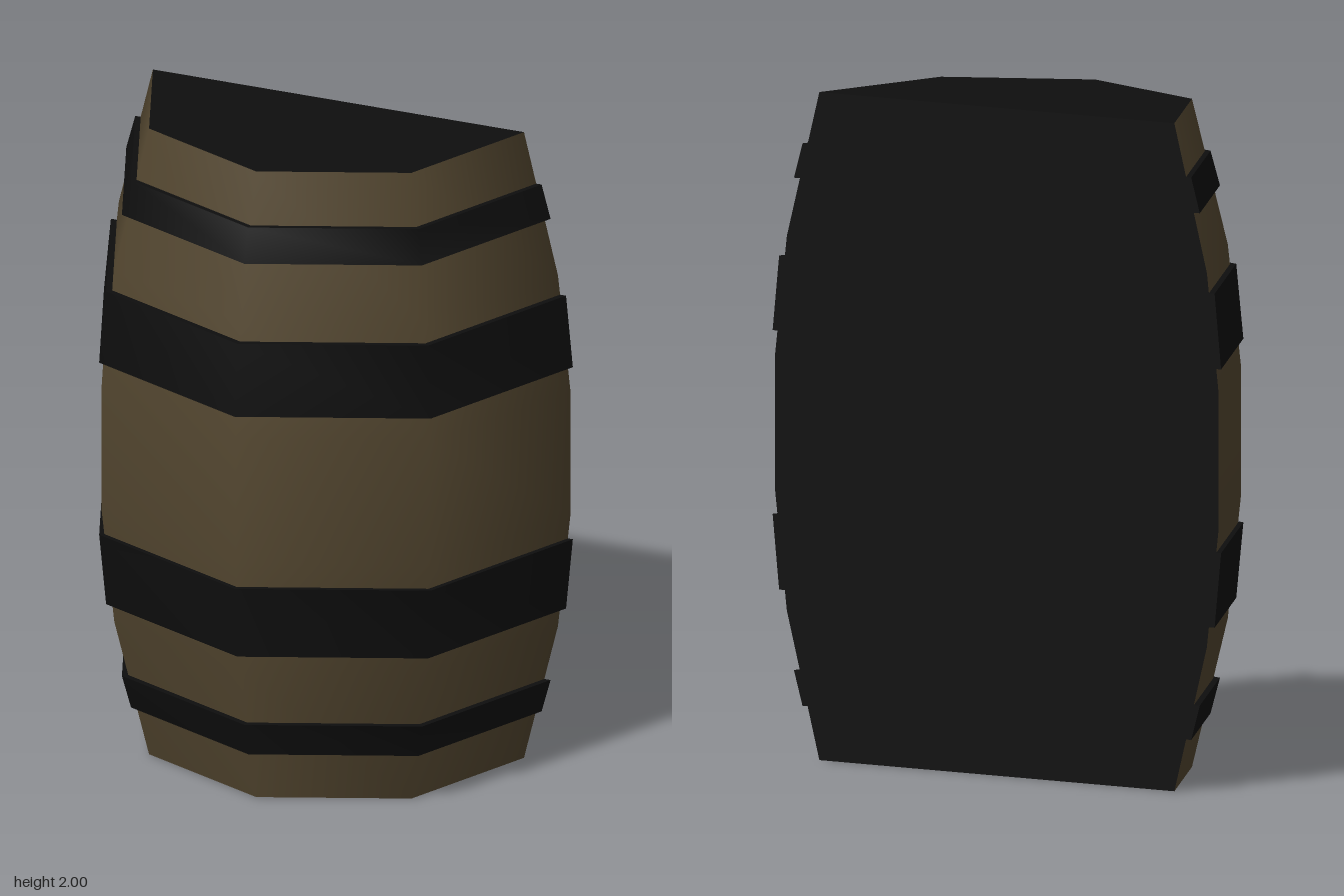
import * as THREE from 'three';
import { toCreasedNormals } from 'three/addons/utils/BufferGeometryUtils.js';

const BACK = -0.38; // plane where the half barrel is cut
const SIDES = 4;

// stave profile: [radius, height]
const PROFILE = [[0.6, 0], [0.71, 0.44], [0.75, 0.8], [0.75, 1.2], [0.71, 1.56], [0.6, 2]];

// hoops: bottom radius, bottom height, top radius, top height
const UPPER = [[0.758, 1.275, 0.736, 1.5], [0.686, 1.737, 0.657, 1.842]];
const HOOPS = [
  ...UPPER.map(([r0, y0, r1, y1]) => [r1, 2 - y1, r0, 2 - y0]).reverse()
    .map(([r0, y0, r1, y1], i) => {
      // lower hoops mirror the upper ones
      return [r0, y0, r1, y1, i];
    }),
  ...UPPER,
];

function staveRadius(y) {
  for (let i = 1; i < PROFILE.length; i++) {
    const [r0, y0] = PROFILE[i - 1], [r1, y1] = PROFILE[i];
    if (y <= y1) return r0 + (r1 - r0) * (y - y0) / (y1 - y0);
  }
  return PROFILE[PROFILE.length - 1][0];
}

function halfLathe(points) {
  return new THREE.LatheGeometry(points.map(p => new THREE.Vector2(...p)), SIDES, -Math.PI / 2, Math.PI);
}

export function createModel() {
  const model = new THREE.Group();
  const wood = new THREE.MeshStandardMaterial({ color: 0x544730 });
  wood.name = 'brown wood';
  const black = new THREE.MeshStandardMaterial({ color: 0x0e0e0e });
  black.name = 'black iron';

  function add(name, geometry, material, y = 0) {
    const mesh = new THREE.Mesh(geometry, material);
    mesh.name = name;
    mesh.position.set(0, y, BACK);
    model.add(mesh);
  }

  // bulging staves
  add('staves', halfLathe(PROFILE), wood);

  // hoops, slightly proud of the staves
  HOOPS.forEach(([r0, y0, r1, y1], i) => {
    const in0 = staveRadius(y0) - 0.005, in1 = staveRadius(y1) - 0.005;
    const ring = halfLathe([[in0, y0], [r0, y0], [r1, y1], [in1, y1]]);
    add('hoop' + (i + 1), toCreasedNormals(ring, Math.PI / 3), black);
  });

  // lid and base
  add('lid', new THREE.CircleGeometry(0.6, SIDES, Math.PI, Math.PI).rotateX(-Math.PI / 2), black, 2);
  add('base', new THREE.CircleGeometry(0.6, SIDES, 0, Math.PI).rotateX(Math.PI / 2), black);

  // flat back follows the staves and steps out at each hoop
  const edge = PROFILE.filter(([, y]) => !HOOPS.some(h => y > h[1] && y < h[3]));
  HOOPS.forEach(([r0, y0, r1, y1]) => {
    edge.push([staveRadius(y0), y0 - 1e-5], [r0, y0], [r1, y1], [staveRadius(y1), y1 + 1e-5]);
  });
  edge.sort((a, b) => a[1] - b[1]);
  const outline = [...edge, ...edge.map(([r, y]) => [-r, y]).reverse()];
  const back = new THREE.ShapeGeometry(new THREE.Shape(outline.map(p => new THREE.Vector2(...p))));
  add('back', back.rotateY(Math.PI), black);

  return model;
}
